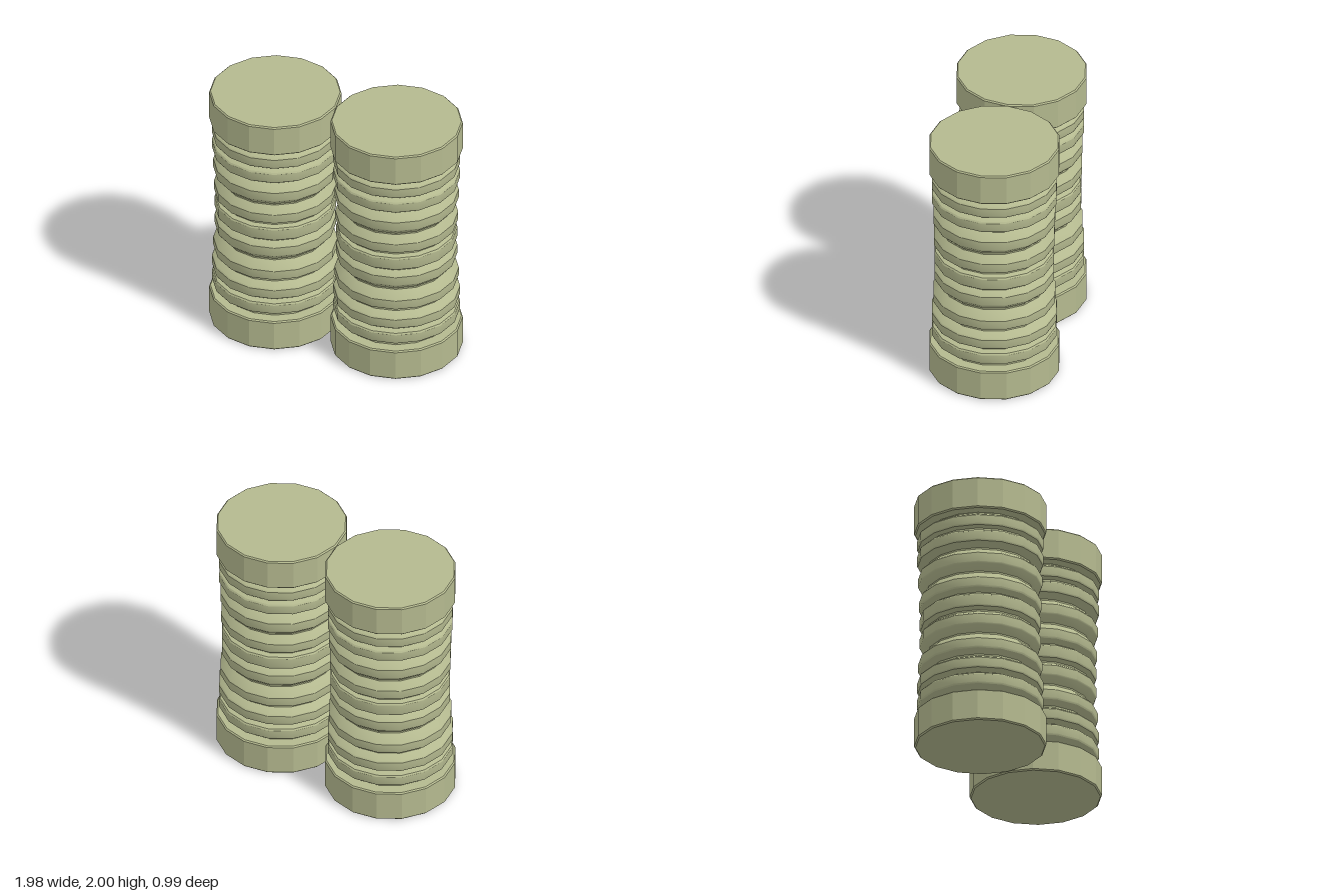
import * as THREE from 'three';
import { toCreasedNormals } from 'three/addons/utils/BufferGeometryUtils.js';

const SIDES = 16;
const RADIUS = 0.495;
const CAP = 0.25;

const lathe = (points) =>
  new THREE.LatheGeometry(points.map(([r, y]) => new THREE.Vector2(r, y)), SIDES);

// Ribs from bottom to top: outer radius, start and end of the crest,
// then radius and height of the groove above it
const RIBS = [
  [0.475, 0.32, 0.385, 0.42, 0.415],
  [0.475, 0.455, 0.52, 0.41, 0.57],
  [0.465, 0.62, 0.685, 0.4, 0.755],
  [0.455, 0.82, 0.89, 0.41, 0.935],
  [0.455, 0.97, 1.05, 0.41, 1.08],
  [0.46, 1.125, 1.19, 0.41, 1.255],
  [0.465, 1.32, 1.39, 0.405, 1.45],
  [0.475, 1.5, 1.565, 0.42, 1.605],
  [0.475, 1.63, 1.695, 0.4, 1.75],
];

function ribProfile() {
  const points = [[0.4, 0.24], [0.4, 0.265]];
  for (const [r, y0, y1, grooveR, grooveY] of RIBS) {
    points.push(
      [r - 0.006, y0 - 0.012], [r, y0], [r, y1], [r - 0.008, y1 + 0.012],
      [grooveR, grooveY - 0.006], [grooveR, grooveY + 0.006],
    );
  }
  points.push([0.4, 1.77]);
  return points;
}

export function createModel() {
  const model = new THREE.Group();
  model.name = 'ribbedColumns';

  const color = 0xb4b98f;
  const flat = new THREE.MeshStandardMaterial({ color, flatShading: true });
  const smooth = new THREE.MeshStandardMaterial({ color });

  // End cap: a short drum with a small bevel on both rims
  const b = 0.01;
  const capGeometry = lathe([
    [0, 0], [RADIUS - b, 0], [RADIUS, b],
    [RADIUS, CAP - b], [RADIUS - b, CAP], [0, CAP],
  ]);
  const ribGeometry = toCreasedNormals(lathe(ribProfile()), 0.5);

  for (const [side, x] of [['left', RADIUS], ['right', -RADIUS]]) {
    const column = new THREE.Group();
    column.name = `${side}Column`;
    column.position.x = x;

    const ribs = new THREE.Mesh(ribGeometry, smooth);
    ribs.name = 'ribbedBody';
    column.add(ribs);

    for (const [name, y] of [['bottomCap', 0], ['topCap', 2 - CAP]]) {
      const cap = new THREE.Mesh(capGeometry, flat);
      cap.name = name;
      cap.position.y = y;
      column.add(cap);
    }
    model.add(column);
  }
  return model;
}
